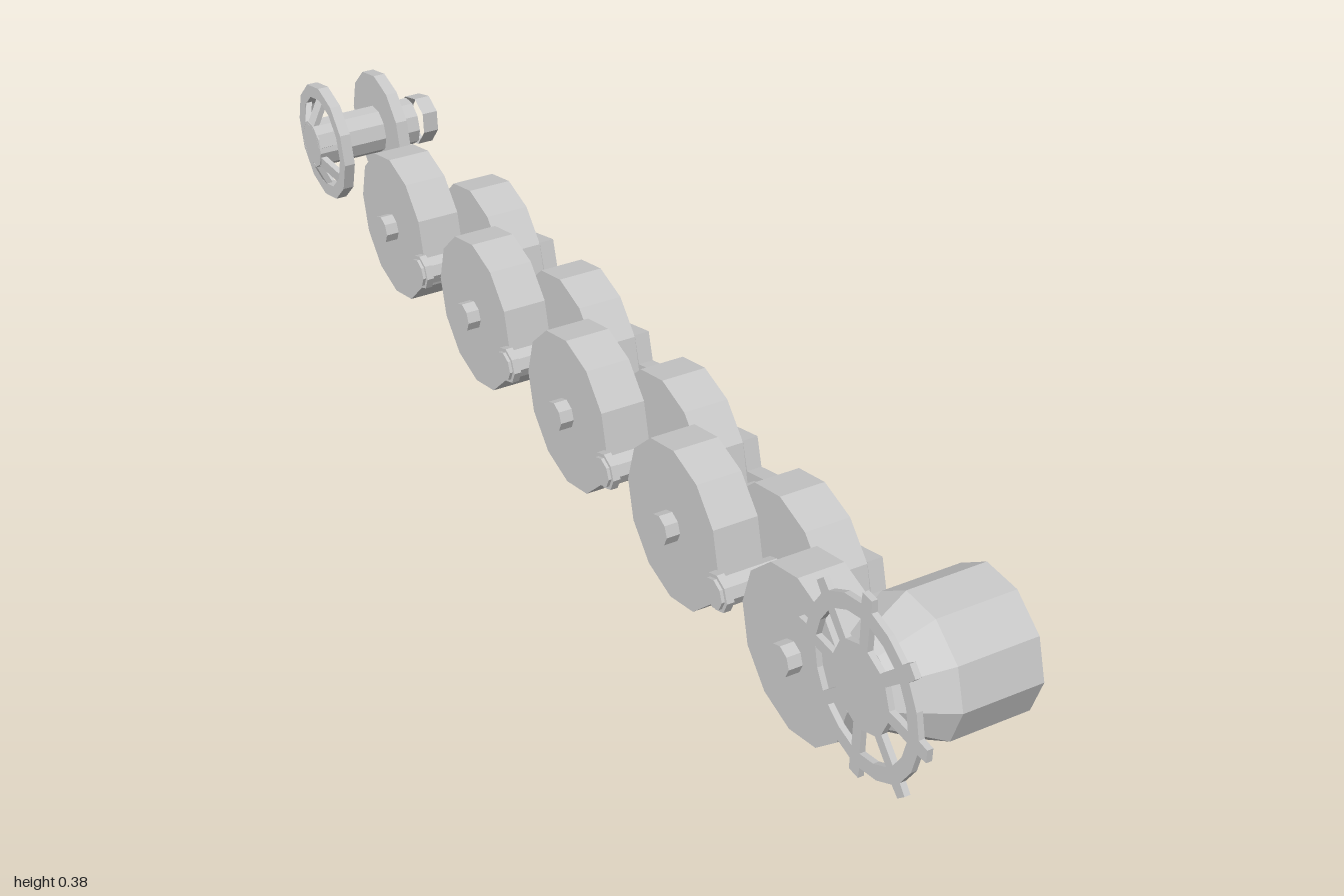
import * as THREE from 'three';

const mat = new THREE.MeshStandardMaterial({ color: 0xcccccc, flatShading: true });
const openMat = new THREE.MeshStandardMaterial({ color: 0xcccccc, flatShading: true, side: THREE.DoubleSide });

function add(parent, name, geo, x, y, z, material = mat) {
  const m = new THREE.Mesh(geo, material);
  m.name = name;
  m.position.set(x, y, z);
  parent.add(m);
  return m;
}

// Cylinder lying along x, from x0 to x1
function axle(parent, name, r, x0, x1, y, z, sides, rEnd = r) {
  const g = new THREE.CylinderGeometry(rEnd, r, x1 - x0, sides).rotateZ(-Math.PI / 2);
  return add(parent, name, g, (x0 + x1) / 2, y, z);
}

// Shape in the zy plane, extruded along +x
function plate(shape, depth) {
  return new THREE.ExtrudeGeometry(shape, { depth, bevelEnabled: false, curveSegments: 3 }).rotateY(Math.PI / 2);
}

const polar = (r, a) => new THREE.Vector2(r * Math.cos(a), r * Math.sin(a));

function ringPoints(r, n) {
  return Array.from({ length: n }, (_, i) => polar(r, (i / n) * Math.PI * 2));
}

// Road wheel with its axle and swing arm
function roadWheel(z, outer) {
  const g = new THREE.Group();
  g.name = outer ? 'outerRoadWheel' : 'innerRoadWheel';
  const y = 0.131;
  const x0 = outer ? -0.068 : 0.007;
  axle(g, 'wheelDisc', 0.131, x0, x0 + 0.073, y, z, 12);
  axle(g, 'wheelAxle', 0.024, outer ? -0.09 : -0.096, 0.09, y, z, 8);
  if (!outer) axle(g, 'axleCollar', 0.03, -0.091, -0.079, y, z, 8);
  const arm = add(g, 'swingArm', new THREE.BoxGeometry(0.025, 0.053, 0.172), 0.093, 0.148, z + 0.038);
  arm.rotation.x = -0.3;
  return g;
}

// Toothed drive wheel with its bell-shaped, inward-opening housing
function driveSprocket() {
  const g = new THREE.Group();
  g.name = 'driveSprocket';
  g.position.set(0, 0.232, 0.857);
  const n = 8;
  const step = (Math.PI * 2) / n;
  const outline = [];
  for (let i = 0; i < n; i++) {
    const a = i * step;
    outline.push(polar(0.127, a - 0.09), polar(0.145, a - 0.07), polar(0.145, a + 0.07),
      polar(0.127, a + 0.09), polar(0.127, a + step / 2));
  }
  const shape = new THREE.Shape(outline);
  for (let i = 0; i < n; i++) {
    const a = i * step;
    shape.holes.push(new THREE.Path([polar(0.064, a + 0.14), polar(0.104, a + 0.09),
      polar(0.104, a + step / 2), polar(0.104, a + step - 0.09), polar(0.064, a + step - 0.14)]));
  }
  add(g, 'sprocketRing', plate(shape, 0.009), -0.095, 0, 0);
  const profile = [[0, -0.086], [0.062, -0.086], [0.104, -0.012], [0.104, 0.112]];
  const bell = new THREE.LatheGeometry(profile.map(p => new THREE.Vector2(...p)), 10).rotateZ(-Math.PI / 2);
  add(g, 'finalDriveHousing', bell, 0, 0.002, 0, openMat);
  return g;
}

// Rear idler: dished spoked rim, solid inner disc, shaft and crank sleeve
function idler() {
  const g = new THREE.Group();
  g.name = 'idlerWheel';
  g.position.set(0, 0.19, -0.894);
  const rim = new THREE.Shape(ringPoints(0.106, 12));
  rim.holes.push(new THREE.Path(ringPoints(0.083, 12)));
  add(g, 'idlerRim', plate(rim, 0.019), -0.095, 0, 0);
  axle(g, 'idlerHub', 0.043, -0.115, -0.076, 0, 0, 10);
  for (let i = 0; i < 6; i++) {
    const spoke = new THREE.Group();
    spoke.name = 'idlerSpoke';
    spoke.rotation.x = (i / 6) * Math.PI * 2;
    const bar = add(spoke, 'spokeBar', new THREE.BoxGeometry(0.01, 0.062, 0.024), -0.098, 0.062, 0);
    bar.rotation.z = -0.42;
    g.add(spoke);
  }
  axle(g, 'idlerDisc', 0.106, 0.013, 0.034, 0, 0, 12);
  axle(g, 'idlerShaft', 0.043, -0.08, 0.08, 0, 0, 10);
  // Oblong sleeve, open at its inner end
  const sleeve = new THREE.CylinderGeometry(0.052, 0.052, 0.028, 8, 1, true).rotateZ(-Math.PI / 2);
  sleeve.scale(1, 0.86, 1.2);
  const crank = add(g, 'crankSleeve', sleeve, 0.091, 0.008, 0.014, openMat);
  crank.rotation.x = -0.6;
  return g;
}

export function createModel() {
  const model = new THREE.Group();
  model.name = 'runningGear';
  // Interleaved wheels, alternating between the outer and inner row
  for (let i = 0; i < 9; i++) model.add(roadWheel(0.665 - i * 0.164, i % 2 === 0));
  model.add(driveSprocket(), idler());
  return model;
}
